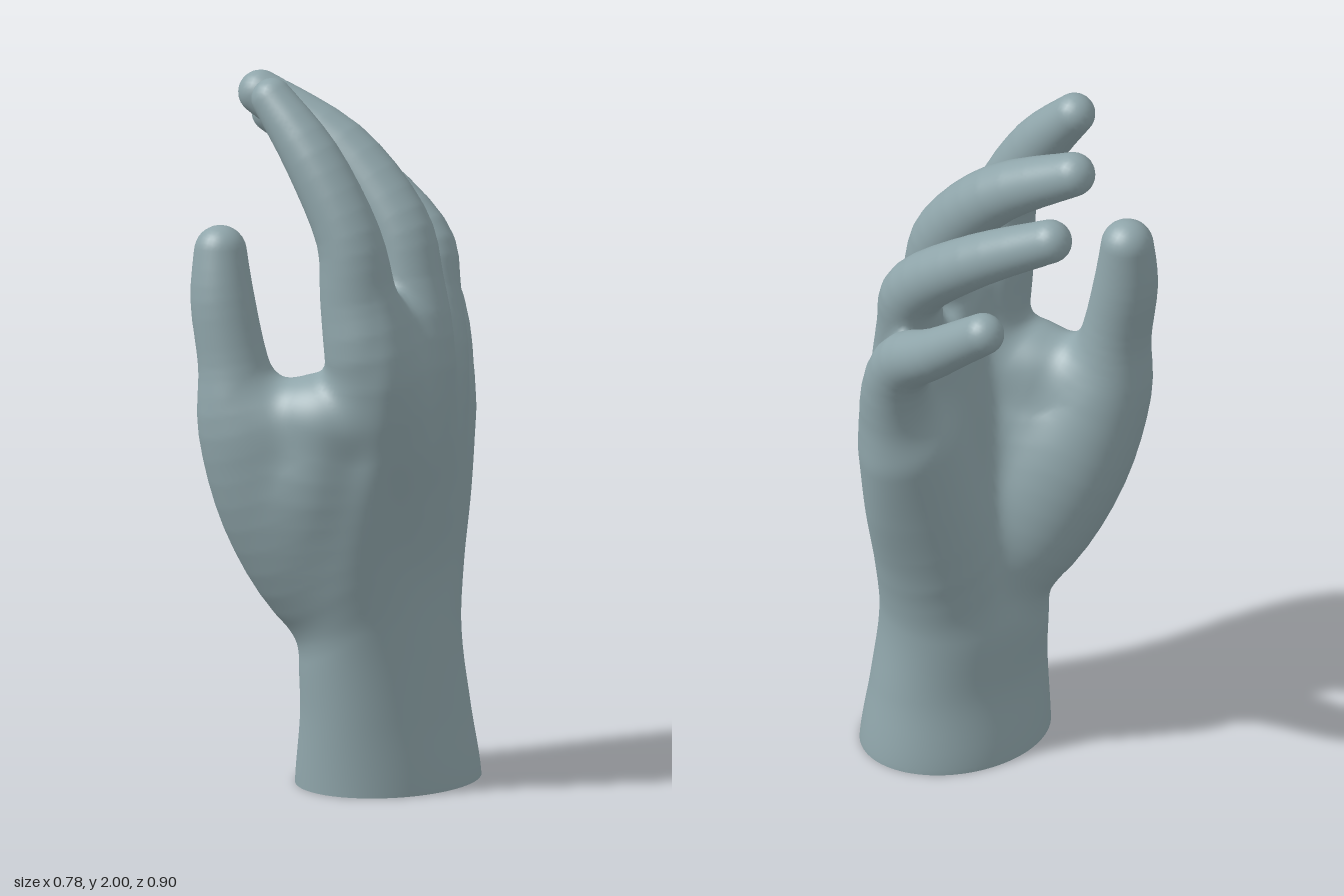
import * as THREE from 'three';

// Bones as rows of [x, y, z, radius]; blend is how softly each one melts into the hand.
const BONES = [
  { name: 'palm', blend: 0.1, rows: [ // heel of the palm
    [0.11, 0.62, -0.14, 0.13], [0.11, 1.0, -0.26, 0.115]] },
  { name: 'palm', blend: 0.08, rows: [ // muscle between thumb and palm
    [0.1, 0.66, 0.15, 0.16], [0.1, 0.86, 0.21, 0.165], [0.14, 1.04, 0.23, 0.13]] },
  { name: 'palm', blend: 0.06, rows: [ // web between thumb and index finger
    [-0.03, 1.01, 0.29, 0.1], [0.2, 1.08, 0.19, 0.12]] },
  { name: 'thumb', blend: 0.08, rows: [
    [0.05, 0.6, 0.165, 0.155], [-0.02, 0.8, 0.25, 0.16], [-0.08, 1.02, 0.318, 0.13],
    [-0.11, 1.2, 0.332, 0.098], [-0.145, 1.38, 0.335, 0.089], [-0.16, 1.516, 0.325, 0.073]] },
  { name: 'indexFinger', blend: 0.045, rows: [
    [0.252, 1.19, 0.18, 0.125], [0.222, 1.4, 0.2, 0.107], [0.195, 1.58, 0.212, 0.09],
    [0.078, 1.785, 0.217, 0.079], [-0.06, 1.942, 0.218, 0.058]] },
  { name: 'middleFinger', blend: 0.04, rows: [
    [0.27, 1.2, -0.005, 0.106], [0.232, 1.42, -0.025, 0.096], [0.175, 1.58, -0.035, 0.093],
    [0.0, 1.765, -0.025, 0.083], [-0.24, 1.903, 0.022, 0.062]] },
  { name: 'ringFinger', blend: 0.04, rows: [
    [0.21, 1.15, -0.155, 0.1], [0.17, 1.36, -0.2, 0.092], [0.12, 1.5, -0.225, 0.086],
    [-0.1, 1.672, -0.22, 0.075], [-0.33, 1.804, -0.165, 0.061]] },
  { name: 'littleFinger', blend: 0.04, rows: [
    [0.13, 1.1, -0.295, 0.098], [0.065, 1.32, -0.347, 0.087],
    [-0.1, 1.446, -0.385, 0.07], [-0.285, 1.583, -0.387, 0.059]] },
];
const WRIST = [0.17, 0.4, -0.02, 0.08]; // every bone is rooted part of the way to here

// Forearm and palm sections every 0.2 in height: centre x, centre z, radius x, radius z, turn.
const STEP_Y = 0.2;
const SECTIONS = [
  [0.15, -0.04, 0.24, 0.29, 0],
  [0.153, -0.022, 0.212, 0.277, 0],
  [0.148, -0.008, 0.197, 0.272, 0.02],
  [0.172, -0.015, 0.16, 0.285, 0.08],
  [0.19, -0.042, 0.15, 0.315, 0.2],
  [0.205, -0.06, 0.143, 0.338, 0.32],
  [0.212, -0.065, 0.12, 0.347, 0.36],
  [0.19, -0.06, 0.08, 0.3, 0.36],
];

const smoothMin = (a, b, k) => {
  const h = Math.max(k - Math.abs(a - b), 0) / k;
  return Math.min(a, b) - h * h * k / 4;
};

// Row of numbers at a fractional index, on a smooth curve through the given rows
function spline(rows, at) {
  const last = rows.length - 1;
  const f = THREE.MathUtils.clamp(at, 0, last);
  const i = Math.min(Math.floor(f), last - 1), t = f - i;
  const [p, q, r, s] = [Math.max(i - 1, 0), i, i + 1, Math.min(i + 2, last)].map((n) => rows[n]);
  return q.map((b, n) => b + 0.5 * t * (r[n] - p[n] + t * (2 * p[n] - 5 * b + 4 * r[n] - s[n]
    + t * (3 * (b - r[n]) + s[n] - p[n]))));
}

const sectionCache = new Map();
function bodyDistance(x, y, z) {
  const key = Math.round(y * 2000);
  if (!sectionCache.has(key)) sectionCache.set(key, spline(SECTIONS, y / STEP_Y));
  const [cx, cz, rx, rz, turn] = sectionCache.get(key);
  const c = Math.cos(turn), s = Math.sin(turn);
  const u = ((x - cx) * c - (z - cz) * s) / rx, v = ((x - cx) * s + (z - cz) * c) / rz;
  const k0 = Math.hypot(u, v), k1 = Math.hypot(u / rx, v / rz);
  const side = k1 < 1e-6 ? -rx : k0 * (k0 - 1) / k1;
  return -smoothMin(-side, 1.37 + 0.3 * z - y, 0.08); // rounded off along the slanting finger webs
}

// A bone becomes a smooth chain of short round cones
function makeChain(bone) {
  const root = bone[0].map((value, n) => THREE.MathUtils.lerp(value, WRIST[n], 0.45));
  const rows = [root, ...bone];
  const steps = (rows.length - 1) * 4;
  const beads = Array.from({ length: steps + 1 }, (_, i) => spline(rows, i / 4));
  return beads.slice(1).map((b, i) => {
    const a = beads[i], d = b.map((value, n) => value - a[n]);
    const length = Math.hypot(d[0], d[1], d[2]), slope = d[3] / length;
    return { a, d, length, lean: slope / Math.sqrt(1 - slope * slope) };
  });
}

function chainDistance(chain, x, y, z) {
  let best = Infinity;
  for (const { a, d, length, lean } of chain) {
    const px = x - a[0], py = y - a[1], pz = z - a[2];
    const along = (px * d[0] + py * d[1] + pz * d[2]) / length;
    const off = Math.sqrt(Math.max(px * px + py * py + pz * pz - along * along, 0));
    const t = Math.min(Math.max(along + off * lean, 0), length);
    best = Math.min(best, Math.sqrt(off * off + (along - t) * (along - t)) - a[3] - d[3] * t / length);
  }
  return best;
}

const CHAINS = BONES.map(({ name, blend, rows }) => ({ name, blend, chain: makeChain(rows) }));

function handDistance(x, y, z) {
  let d = bodyDistance(x, y, z);
  for (const { chain, blend } of CHAINS) d = smoothMin(d, chainDistance(chain, x, y, z), blend);
  return d;
}

// Which named part a point of the skin belongs to
function partAt(x, y, z) {
  if (y < 0.55) return 'forearm';
  let name = 'palm', best = bodyDistance(x, y, z);
  for (const bone of CHAINS) {
    const d = chainDistance(bone.chain, x, y, z);
    if (d < best) { best = d; name = bone.name; }
  }
  return name;
}

function normalAt(x, y, z, e = 0.008) {
  return new THREE.Vector3(
    handDistance(x + e, y, z) - handDistance(x - e, y, z),
    handDistance(x, y + e, z) - handDistance(x, y - e, z),
    handDistance(x, y, z + e) - handDistance(x, y, z - e)).normalize();
}

// Skin the bones on a grid: one vertex per crossed cell, one quad per crossed edge
function buildSkin() {
  const cell = 0.015, size = [62, 138, 70], origin = [-0.465, -cell / 2, -0.525];
  const stride = [1, size[0], size[0] * size[1]];
  const field = new Float32Array(size[0] * size[1] * size[2]);
  const eachNode = (visit) => {
    for (let k = 0, id = 0; k < size[2]; k++)
      for (let j = 0; j < size[1]; j++)
        for (let i = 0; i < size[0]; i++, id++) visit([i, j, k], id);
  };
  eachNode((n, id) => {
    field[id] = handDistance(...n.map((v, a) => origin[a] + v * cell));
  });

  const vertices = new Map();
  eachNode((n, id) => {
    if (n.some((v, a) => v >= size[a] - 1)) return;
    const sum = [0, 0, 0];
    let count = 0;
    for (let corner = 0; corner < 8; corner++) {
      const bits = [corner & 1, (corner >> 1) & 1, corner >> 2];
      const from = id + bits[0] * stride[0] + bits[1] * stride[1] + bits[2] * stride[2];
      for (let a = 0; a < 3; a++) {
        if (bits[a]) continue;
        const d0 = field[from], d1 = field[from + stride[a]];
        if ((d0 < 0) === (d1 < 0)) continue;
        for (let b = 0; b < 3; b++) sum[b] += bits[b] + (a === b ? d0 / (d0 - d1) : 0);
        count++;
      }
    }
    if (!count) return;
    const p = new THREE.Vector3(...sum.map((v, a) => origin[a] + (n[a] + v / count) * cell));
    const normal = normalAt(p.x, p.y, p.z);
    p.addScaledVector(normal, -handDistance(p.x, p.y, p.z));
    if (n[1] === 0) p.y = 0; // straight open rim at the base
    vertices.set(id, { p, normal });
  });

  const parts = {};
  eachNode((n, id) => {
    for (let a = 0; a < 3; a++) {
      const b = (a + 1) % 3, c = (a + 2) % 3;
      if (n[a] >= size[a] - 1 || n[b] < 1 || n[c] < 1) continue;
      const inside = field[id] < 0;
      if (inside === (field[id + stride[a]] < 0)) continue;
      const quad = [id - stride[b] - stride[c], id - stride[c], id, id - stride[b]];
      if (!inside) quad.reverse();
      const [q0, q1, q2, q3] = quad;
      if (!quad.every((q) => vertices.has(q))) continue;
      const { p } = vertices.get(q0);
      (parts[partAt(p.x, p.y, p.z)] ??= []).push(q0, q1, q2, q0, q2, q3);
    }
  });
  return { vertices, parts };
}

function partGeometry(corners, vertices) {
  const slots = new Map(), positions = [], normals = [];
  const index = corners.map((id) => {
    if (!slots.has(id)) {
      const { p, normal } = vertices.get(id);
      slots.set(id, slots.size);
      positions.push(p.x, p.y, p.z);
      normals.push(normal.x, normal.y, normal.z);
    }
    return slots.get(id);
  });
  const geometry = new THREE.BufferGeometry();
  geometry.setAttribute('position', new THREE.Float32BufferAttribute(positions, 3));
  geometry.setAttribute('normal', new THREE.Float32BufferAttribute(normals, 3));
  geometry.setIndex(index);
  return geometry;
}

export function createModel() {
  const group = new THREE.Group();
  group.name = 'hand';
  // The forearm is open at the base, so the inside shows too
  const skin = new THREE.MeshStandardMaterial({ color: 0x8fa5aa, side: THREE.DoubleSide });
  skin.name = 'blueGrey';
  const { vertices, parts } = buildSkin();
  for (const [name, corners] of Object.entries(parts)) {
    const mesh = new THREE.Mesh(partGeometry(corners, vertices), skin);
    mesh.name = name;
    group.add(mesh);
  }
  return group;
}
